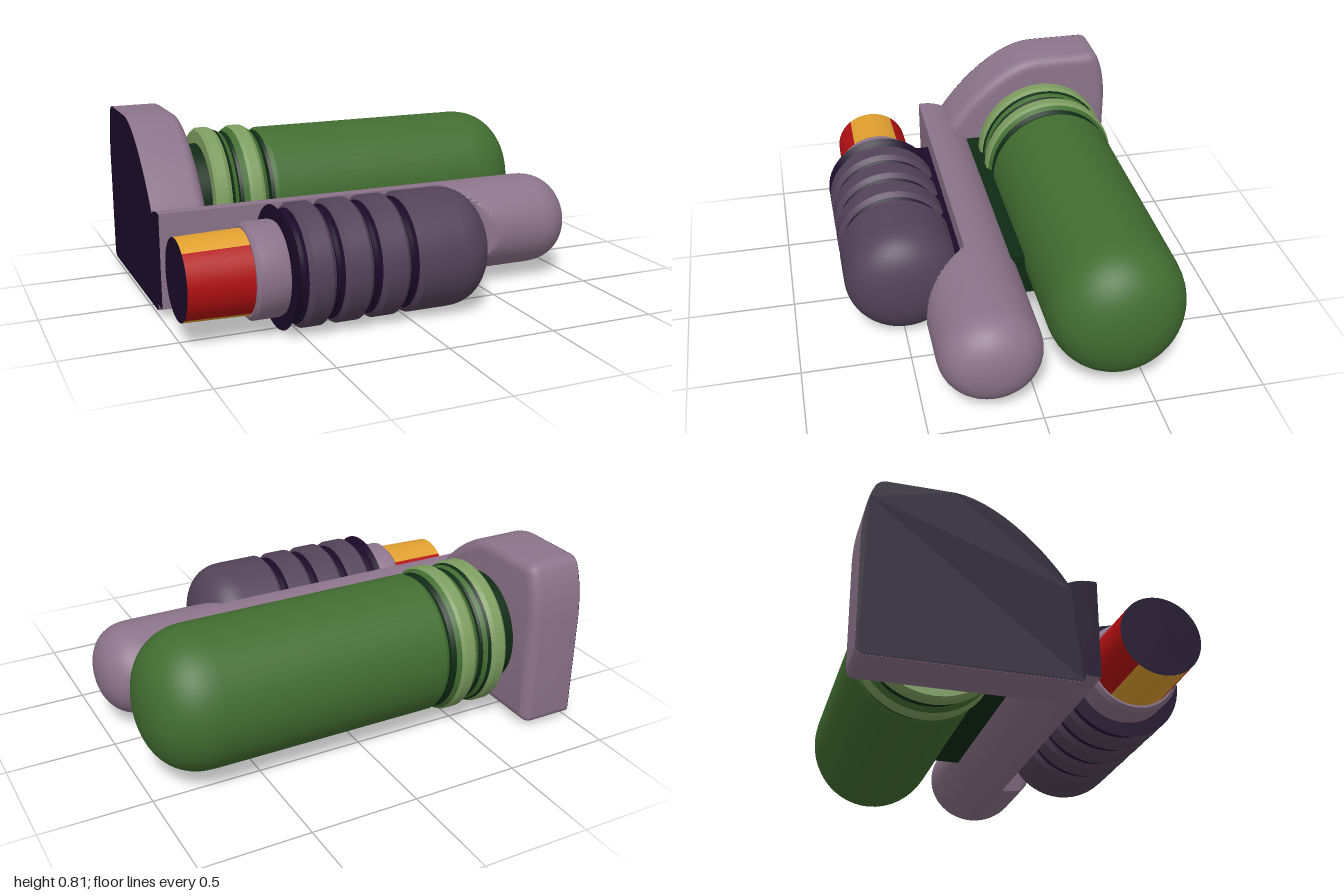
import * as THREE from 'three';
import { toCreasedNormals } from 'three/addons/utils/BufferGeometryUtils.js';

const mat = (name, color, side = THREE.FrontSide) => {
  const m = new THREE.MeshStandardMaterial({ color, side });
  m.name = name;
  return m;
};

export function createModel() {
  const M = {
    green: mat('green', 0x426d31),
    light: mat('light green', 0x7d9d60),
    deep: mat('deep green', 0x0f2a14),
    mauve: mat('mauve', 0x8c748a),
    purple: mat('purple', 0x534359),
    dark: mat('dark purple', 0x1c0a2a),
    red: mat('red', 0xb31012),
    amber: mat('amber', 0xe0a030),
  };
  const model = new THREE.Group();

  const add = (parent, name, geo, material) => {
    const mesh = new THREE.Mesh(geo, material);
    mesh.name = name;
    parent.add(mesh);
    return mesh;
  };
  const group = (name, y, z, zScale = 1) => {
    const g = new THREE.Group();
    g.name = name;
    g.position.set(0, y, z);
    g.scale.z = zScale;
    model.add(g);
    return g;
  };
  // Lathe along +x from [x, radius] pairs
  const turn = (pts, seg = 48, start = 0, len = Math.PI * 2) => {
    const g = new THREE.LatheGeometry(pts.map(([x, r]) => new THREE.Vector2(r, x)), seg, start, len);
    return g.rotateZ(-Math.PI / 2);
  };
  const crease = (g, a = 0.5) => toCreasedNormals(g, a);
  // Rounded nose from x0 (radius r) to the tip at x1
  const nose = (x0, x1, r, p = 0.87) => {
    const out = [];
    for (let i = 0; i <= 14; i++) {
      const a = (i / 14) * Math.PI / 2;
      out.push([x0 + (x1 - x0) * Math.sin(a) ** p, i === 14 ? 0 : r * Math.cos(a) ** p]);
    }
    return out;
  };
  // Flat dark disc closing a tube at its -x end
  const endCap = (parent, x, r) =>
    add(parent, 'endCap', new THREE.CircleGeometry(r, 48).rotateY(-Math.PI / 2).translate(x, 0, 0), M.dark);

  // Large green canister with ringed neck
  const can = group('canister', 0.38, -0.37, 0.953);
  add(can, 'neck', crease(turn([[-0.78, 0.27], [-0.65, 0.27]])), M.deep);
  const bands = [
    ['ring', M.light, [[-0.66, 0.25], [-0.66, 0.332], [-0.645, 0.345], [-0.6, 0.345], [-0.58, 0.334]]],
    ['groove', M.deep, [[-0.58, 0.334], [-0.565, 0.328]]],
    ['ridge', M.green, [[-0.565, 0.328], [-0.545, 0.318]]],
    ['groove', M.deep, [[-0.545, 0.318], [-0.535, 0.312], [-0.52, 0.318]]],
    ['ridge', M.green, [[-0.52, 0.318], [-0.495, 0.336]]],
    ['ring', M.light, [[-0.495, 0.336], [-0.48, 0.345], [-0.435, 0.345], [-0.42, 0.336]]],
    ['ridge', M.green, [[-0.42, 0.336], [-0.4, 0.322]]],
    ['groove', M.deep, [[-0.4, 0.322], [-0.38, 0.308], [-0.365, 0.314]]],
    ['body', M.green, [[-0.365, 0.314], [-0.345, 0.326], ...nose(0.72, 1, 0.326)]],
  ];
  for (const [name, m, pts] of bands) add(can, name, crease(turn(pts)), m);

  // D-shaped end plate, rounded on its inner face only
  const plate = group('endPlate', 0, 0);
  const outline = new THREE.Shape();
  outline.moveTo(-0.13, 0.022);
  outline.lineTo(0.72, 0.022);
  outline.quadraticCurveTo(0.76, 0.022, 0.76, 0.06);
  outline.lineTo(0.76, 0.54);
  outline.quadraticCurveTo(0.755, 0.69, 0.715, 0.775);
  outline.quadraticCurveTo(0.7, 0.81, 0.66, 0.81);
  outline.lineTo(0.38, 0.81);
  outline.bezierCurveTo(0.22, 0.8, 0.03, 0.64, -0.1, 0.45);
  outline.quadraticCurveTo(-0.115, 0.42, -0.12, 0.36);
  outline.lineTo(-0.155, 0.06);
  outline.quadraticCurveTo(-0.155, 0.022, -0.13, 0.022);
  const bevel = 0.05;
  const slab = new THREE.ExtrudeGeometry(outline, {
    depth: 0.203, bevelEnabled: true, bevelThickness: bevel, bevelSize: bevel,
    bevelOffset: -bevel, bevelSegments: 5, curveSegments: 12,
  });
  const sp = slab.attributes.position;
  for (let i = 0; i < sp.count; i++) sp.setZ(i, Math.max(0, sp.getZ(i)));
  slab.rotateY(Math.PI / 2).translate(-0.998, 0, 0);
  add(plate, 'slab', crease(slab, 0.6), M.mauve);
  add(plate, 'backFace', new THREE.ShapeGeometry(outline, 12).rotateY(Math.PI / 2).translate(-1, 0, 0),
    mat('dark backing', 0x1c0a2a, THREE.DoubleSide));

  // Central spine: a round bar cut flat on its front, swelling to a full nose
  const spine = group('spine', 0.268, 0.2);
  const cutFront = (x) => {
    const t = THREE.MathUtils.clamp((x - 0.35) / 0.25, 0, 1);
    return 0.02 + 0.215 * Math.sin(t * Math.PI / 2);
  };
  const profile = [[-0.999, 0.232], [0.3, 0.232]];
  for (let x = 0.35; x < 0.62; x += 0.02) profile.push([x, 0.232]);
  profile.push(...nose(0.8, 1, 0.232));
  const bar = turn(profile, 64);
  const bp = bar.attributes.position;
  for (let i = 0; i < bp.count; i++) {
    bp.setY(i, bp.getY(i) * 0.935);
    bp.setZ(i, Math.min(bp.getZ(i), cutFront(bp.getX(i))));
  }
  add(spine, 'bar', crease(bar), M.mauve);
  const half = new THREE.CircleGeometry(0.232, 64);
  const hp = half.attributes.position;
  for (let i = 0; i < hp.count; i++) hp.setXYZ(i, Math.min(hp.getX(i), 0.02), hp.getY(i) * 0.935, 0);
  add(spine, 'endCap', half.rotateY(-Math.PI / 2).translate(-0.999, 0, 0), M.dark);

  // Connecting strips from the spine to each canister
  add(model, 'rearStrip', new THREE.BoxGeometry(1.12, 0.21, 0.2).translate(-0.21, 0.28, -0.07), M.deep);
  add(model, 'frontStrip', new THREE.BoxGeometry(0.95, 0.21, 0.12).translate(-0.225, 0.28, 0.27), M.dark);

  // Small ribbed purple canister
  const pod = group('ribbedPod', 0.273, 0.49);
  const grooves = [-0.53, -0.37, -0.2, -0.03];
  const R = 0.27;
  add(pod, 'rearRim', crease(turn([[-0.57, 0.15], [-0.57, R], [-0.55, 0.25]])), M.dark);
  grooves.forEach((x, i) => {
    add(pod, 'groove', crease(turn([[x - 0.02, 0.25], [x - 0.01, 0.235], [x + 0.01, 0.235], [x + 0.02, 0.25]])), M.dark);
    const next = grooves[i + 1];
    const tail = next === undefined
      ? nose(0.2, 0.4, R)
      : [[next - 0.04, R], [next - 0.02, 0.25]];
    add(pod, 'rib', crease(turn([[x + 0.02, 0.25], [x + 0.04, R], ...tail])), M.purple);
  });

  // Collar behind the pod
  add(pod, 'collar', crease(turn([[-0.715, 0.16], [-0.715, 0.195], [-0.7, 0.21], [-0.585, 0.21], [-0.56, 0.2]])), M.mauve);

  // Striped tube: red front and back, amber top and bottom
  const tube = [[-1, 0.178], [-0.7, 0.186]];
  const a = THREE.MathUtils.degToRad(53);
  for (let i = 0; i < 2; i++) {
    add(pod, 'redStripe', turn(tube, 14, -a + i * Math.PI, 2 * a), M.red);
    add(pod, 'amberStripe', turn(tube, 10, a + i * Math.PI, Math.PI - 2 * a), M.amber);
  }
  endCap(pod, -1, 0.178);

  return model;
}
